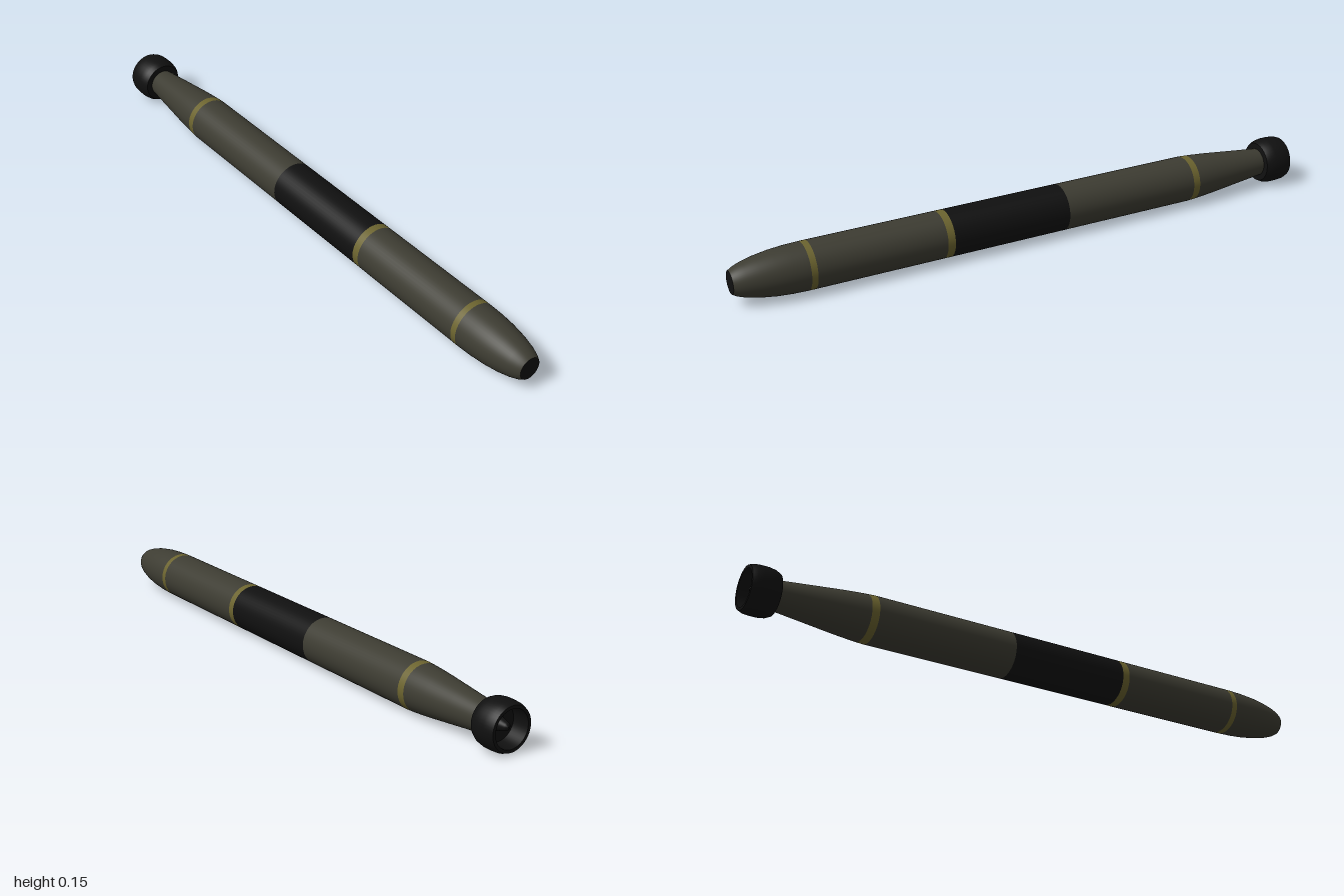
import * as THREE from 'three';

const SEGMENTS = 48;
const R = 0.077;

export function createModel() {
  const model = new THREE.Group();
  model.name = 'torpedo';

  const paint = (name, color) => {
    const m = new THREE.MeshStandardMaterial({ color });
    m.name = name;
    return m;
  };
  const olive = paint('dark olive', 0x3d3c32);
  const yellow = paint('dull yellow', 0x6c642f);
  const black = paint('black', 0x101010);

  // Everything is turned around the long axis, which lies along x
  const axis = new THREE.Group();
  axis.name = 'hull';
  axis.position.y = R;
  axis.rotation.z = -Math.PI / 2;
  model.add(axis);

  // profile: [position along x, radius], in order of rising x for outward faces
  const turn = (name, material, profile) => {
    const points = profile.map(([x, r]) => new THREE.Vector2(r, x));
    const mesh = new THREE.Mesh(new THREE.LatheGeometry(points, SEGMENTS), material);
    mesh.name = name;
    axis.add(mesh);
  };

  // Tail cone and straight hull sections
  turn('tailCone', olive, [[-0.96, 0.041], [-0.9, 0.047], [-0.8, 0.058], [-0.7, 0.069], [-0.65, 0.0735], [-0.62, 0.0757]]);
  turn('rearBand', yellow, [[-0.62, 0.0757], [-0.595, R]]);
  turn('rearHull', olive, [[-0.595, R], [-0.115, R]]);
  turn('middleHull', black, [[-0.115, R], [0.295, R]]);
  turn('middleBand', yellow, [[0.295, R], [0.32, R]]);
  turn('frontHull', olive, [[0.32, R], [0.75, R]]);
  turn('frontBand', yellow, [[0.75, R], [0.77, R]]);

  // Rounded nose with a flat sensor face
  turn('nose', olive, [[0.77, R], [0.82, 0.0755], [0.87, 0.0715], [0.92, 0.064], [0.96, 0.0545], [0.985, 0.0455], [1, 0.037]]);
  turn('noseFace', black, [[1, 0.037], [1, 0]]);

  // Propulsor shroud: bulged shell, front wall, rear lip and recessed cup
  turn('shroudShell', black, [[-1, 0.07], [-0.985, 0.0755], [-0.965, R], [-0.94, R], [-0.92, 0.0735], [-0.905, 0.066]]);
  turn('shroudFront', black, [[-0.905, 0.066], [-0.905, 0.04]]);
  turn('shroudLip', black, [[-1, 0.06], [-1, 0.07]]);
  turn('shroudInside', black, [[-0.945, 0.056], [-1, 0.06]]);
  turn('shroudBulkhead', black, [[-0.945, 0], [-0.945, 0.056]]);
  turn('propellerHub', black, [[-0.985, 0], [-0.98, 0.012], [-0.945, 0.022]]);

  return model;
}
